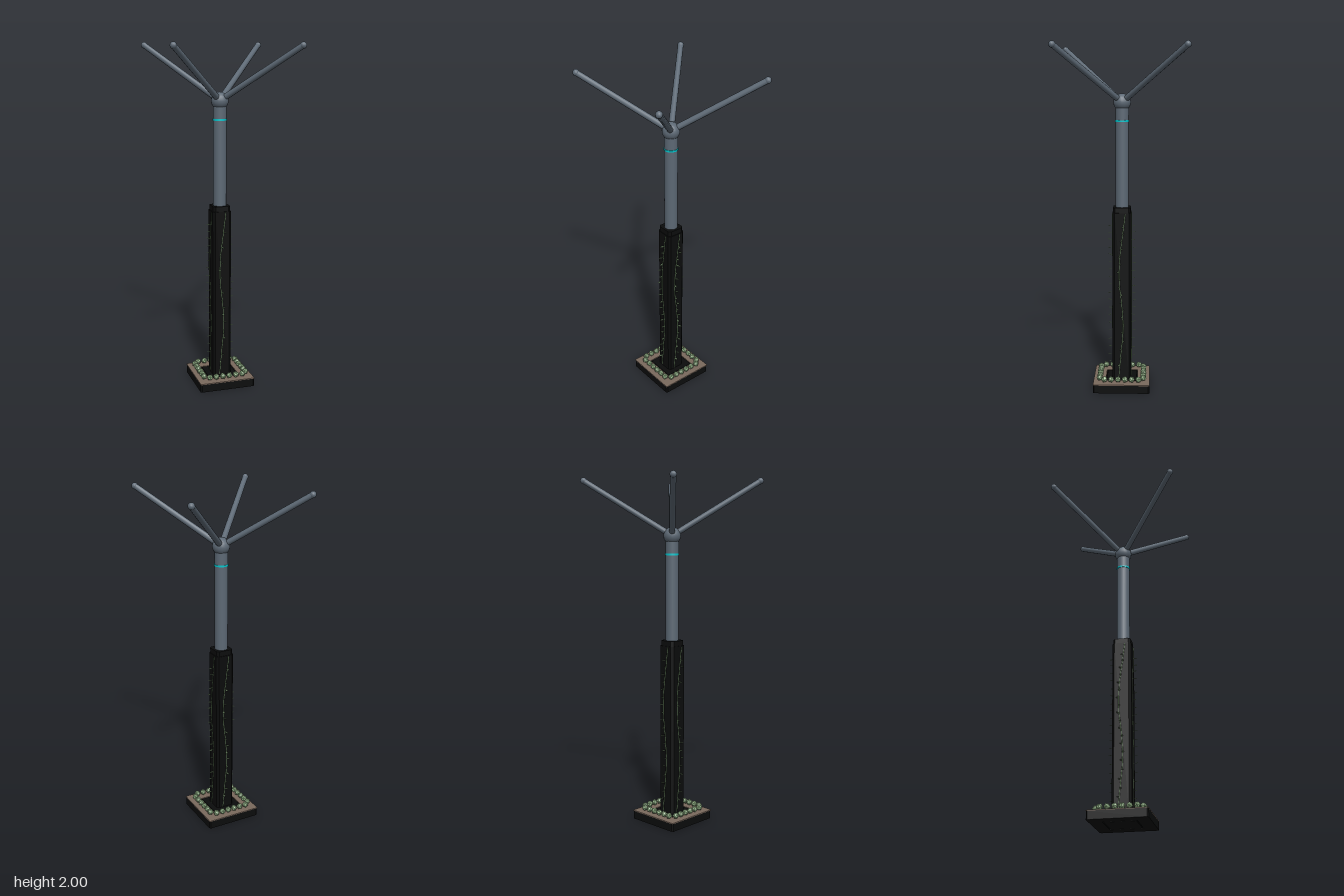
import * as THREE from 'three';

const paint = (name, color, flatShading = false) => {
  const m = new THREE.MeshStandardMaterial({ color, flatShading });
  m.name = name;
  return m;
};

// square outline with small cut corners
function cutSquare(h, c, Type = THREE.Shape) {
  const pts = [[h, -h + c], [h, h - c], [h - c, h], [-h + c, h], [-h, h - c], [-h, -h + c], [-h + c, -h], [h - c, -h]];
  return new Type(pts.map(([x, y]) => new THREE.Vector2(x, y)));
}

// upright extrusion from y0 to y1
function prism(shape, y0, y1) {
  return new THREE.ExtrudeGeometry(shape, { depth: y1 - y0, bevelEnabled: false })
    .rotateX(-Math.PI / 2).translate(0, y0, 0);
}

export function createModel() {
  const steel = paint('steel grey', 0x5c6874);
  const black = paint('black', 0x0b0c0c);
  const soil = paint('soil brown', 0x7a695d);
  const shrub = paint('shrub green', 0x93b487, true);
  const vineGreen = paint('vine green', 0x6c8a62);
  const cyan = paint('cyan light', 0x00c4cc);

  const model = new THREE.Group();
  const add = (name, geo, mat, parent = model) => {
    const mesh = new THREE.Mesh(geo, mat);
    mesh.name = name;
    parent.add(mesh);
    return mesh;
  };

  // planter ring with soil on top, and the foot plate inside it
  const ring = (h, c) => {
    const s = cutSquare(h, c);
    s.holes.push(cutSquare(0.093, 0.0005, THREE.Path));
    return s;
  };
  add('planter', prism(ring(0.165, 0.008), 0, 0.046), black);
  add('soil', prism(ring(0.165, 0.002), 0.046, 0.051), soil);
  add('footPlate', prism(cutSquare(0.088, 0.0005), 0, 0.05), black);

  // column with its collar
  add('column', prism(cutSquare(0.055, 0.013), 0.05, 1.045), black);
  add('collar', prism(cutSquare(0.051, 0.013), 1.045, 1.075), black);

  // pole, light band and hub
  add('pole', new THREE.CylinderGeometry(0.038, 0.038, 0.6, 24).translate(0, 1.365, 0), steel);
  add('lightBand', new THREE.CylinderGeometry(0.0405, 0.0405, 0.01, 24).translate(0, 1.57, 0), cyan);
  add('hub', new THREE.SphereGeometry(0.05, 16, 12).translate(0, 1.675, 0), steel);

  // four arms rising to the corners
  const hubPoint = new THREE.Vector3(0, 1.675, 0);
  for (const sx of [-1, 1]) for (const sz of [-1, 1]) {
    const tip = new THREE.Vector3(0.353 * sx, 1.981, 0.353 * sz);
    const dir = tip.clone().sub(hubPoint);
    const arm = new THREE.Group();
    arm.name = 'arm';
    const rod = add('armRod', new THREE.CylinderGeometry(0.0165, 0.0175, dir.length(), 12), steel, arm);
    rod.position.copy(hubPoint).addScaledVector(dir, 0.5);
    rod.quaternion.setFromUnitVectors(new THREE.Vector3(0, 1, 0), dir.normalize());
    add('armTip', new THREE.SphereGeometry(0.019, 12, 8), steel, arm).position.copy(tip);
    model.add(arm);
  }

  // one climbing vine and one shrub row for each side
  const path = new THREE.CatmullRomCurve3(
    [[-0.018, 0.055], [-0.005, 0.2], [0.008, 0.36], [0, 0.5], [-0.015, 0.64], [-0.012, 0.78], [0.005, 0.92], [0.02, 1.04]]
      .map(([x, y]) => new THREE.Vector3(x, y, 0.056)));
  const vineGeo = new THREE.TubeGeometry(path, 40, 0.0022, 5);
  const leafGeo = new THREE.OctahedronGeometry(1).scale(0.007, 0.0025, 0.013);
  const shrubGeo = new THREE.IcosahedronGeometry(0.019, 0);

  for (let side = 0; side < 4; side++) {
    const planting = new THREE.Group();
    planting.name = 'sidePlanting';
    planting.rotation.y = side * Math.PI / 2;
    add('vine', vineGeo, vineGreen, planting);
    for (let i = 0; i < 19; i++) {
      const p = path.getPoint(0.08 + 0.83 * i / 18);
      const leaf = add('leaf', leafGeo, shrub, planting);
      leaf.position.set(p.x + (i % 2 ? 0.005 : -0.005), p.y, 0.07);
      leaf.rotation.set(i % 3 ? -0.15 : 0.15, i % 2 ? 0.25 : -0.25, 0);
    }
    for (let i = 0; i < 6; i++) {
      const bush = add('shrub', shrubGeo, shrub, planting);
      bush.position.set(-0.1 + 0.04 * i, 0.072, 0.128);
      bush.rotation.y = i * 1.1 + side;
    }
    model.add(planting);
  }
  return model;
}
